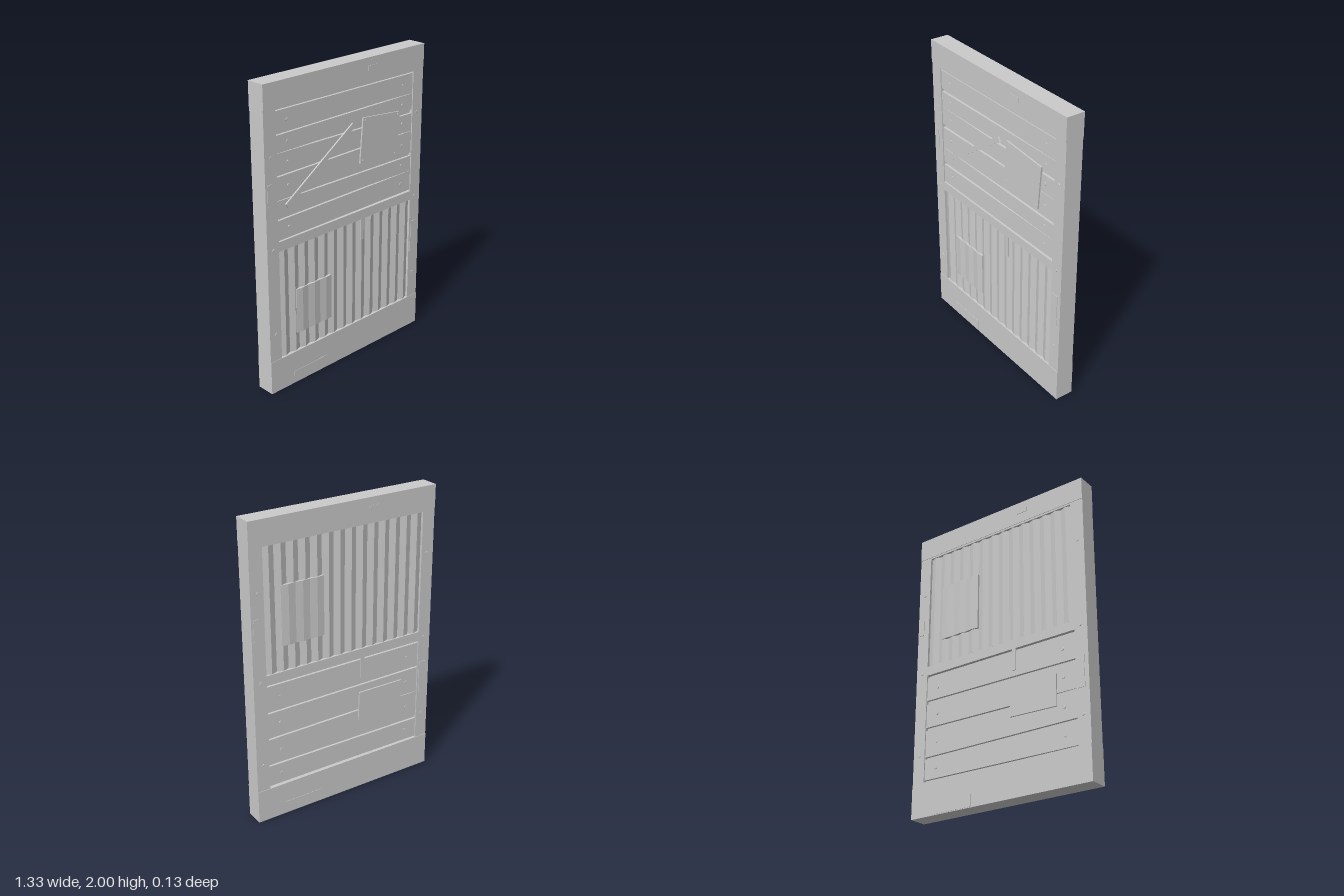
import * as THREE from 'three';

const grey = new THREE.MeshStandardMaterial({ color: 0xcacaca });
grey.name = 'plain grey';

const STILE = 0.059; // face of the uprights
const RAIL = 0.062;  // face of the rails
const HALF = 0.575;  // half width of the opening

function add(parent, name, geometry) {
  const mesh = new THREE.Mesh(geometry, grey);
  mesh.name = name;
  parent.add(mesh);
  return mesh;
}

// Box given by its limits
function block(parent, name, x0, x1, y0, y1, z0, z1) {
  const m = add(parent, name, new THREE.BoxGeometry(x1 - x0, y1 - y0, z1 - z0));
  m.position.set((x0 + x1) / 2, (y0 + y1) / 2, (z0 + z1) / 2);
}

// Flat polygon in the xy plane, thickened from z0 to z1
function slab(parent, name, points, z0, z1) {
  const shape = new THREE.Shape(points.map(([x, y]) => new THREE.Vector2(x, y)));
  const geo = new THREE.ExtrudeGeometry(shape, { depth: z1 - z0, bevelEnabled: false });
  geo.translate(0, 0, z0);
  add(parent, name, geo);
}

// Low nail head sitting on a face
function nail(parent, x, y, z, radius = 0.011) {
  const geo = new THREE.CylinderGeometry(radius * 0.8, radius, 0.003, 6).toNonIndexed();
  geo.computeVertexNormals();
  const m = add(parent, 'nailHead', geo);
  m.rotation.x = Math.PI / 2;
  m.position.set(x, y, z + 0.001);
}

// Zigzag metal sheet with upright ridges
function corrugated(parent, name, x0, x1, y0, y1, ribs, zBack, zLow, zHigh) {
  const pts = [[x0, -zBack]];
  for (let i = 0; i <= ribs * 2; i++) {
    pts.push([x0 + (x1 - x0) * i / (ribs * 2), -(i % 2 ? zHigh : zLow)]);
  }
  pts.push([x1, -zBack]);
  const shape = new THREE.Shape(pts.map(([x, z]) => new THREE.Vector2(x, z)));
  const geo = new THREE.ExtrudeGeometry(shape, { depth: y1 - y0, bevelEnabled: false });
  geo.rotateX(-Math.PI / 2);
  geo.translate(0, y0, 0);
  add(parent, name, geo);
}

// Planks between seams; each seam is a wedge gap [y, gap at left, gap at right]
function planks(parent, seams) {
  for (let i = 0; i < seams.length - 1; i++) {
    const [yt, tl, tr] = seams[i];
    const [yb, bl, br] = seams[i + 1];
    slab(parent, 'plank', [
      [-HALF, yb + bl / 2], [HALF, yb + br / 2],
      [HALF, yt - tr / 2], [-HALF, yt - tl / 2],
    ], 0.03, 0.052);
    for (const x of [-0.485, 0.485]) nail(parent, x, (yt + yb) / 2, 0.052);
  }
}

// Frame details shared by both faces
function faceTrim() {
  const g = new THREE.Group();
  for (const s of [-1, 1]) {
    for (const y of [1.56, 0.978, 0.408]) nail(g, s * 0.616, y, STILE);
  }
  block(g, 'middleRail', -HALF, HALF, 0.955, 1.018, 0.03, STILE);
  block(g, 'headStrip', -HALF, HALF, 1.835, 1.848, 0.03, STILE);
  // Thin repair plates on the frame
  block(g, 'repairPlate', 0.16, 0.238, 1.917, 1.949, 0.055, 0.0645);
  block(g, 'repairPlate', -0.476, -0.196, 0.005, 0.087, 0.055, 0.0645);
  block(g, 'repairPlate', -0.65, -0.616, 1.26, 1.4, 0.055, 0.0625);
  block(g, 'repairPlate', 0.587, 0.637, 0.573, 0.797, 0.055, 0.0625);
  block(g, 'hangingSplinter', 0.115, 0.14, 0.81, 0.955, 0.045, STILE);
  return g;
}

export function createModel() {
  const model = new THREE.Group();
  model.name = 'patchedDoor';

  // Core and frame
  block(model, 'core', -0.6, 0.6, 0.1, 1.9, -0.036, 0.036);
  block(model, 'topRail', -0.665, 0.665, 1.848, 2, -RAIL, RAIL);
  block(model, 'bottomRail', -0.665, 0.665, 0, 0.224, -RAIL, RAIL);
  for (const s of [-1, 1]) {
    block(model, 'stile', s * 0.62 - 0.045, s * 0.62 + 0.045, 0.224, 1.848, -STILE, STILE);
  }

  // Front: planks above, corrugated sheet below
  const front = faceTrim();
  front.name = 'frontFace';
  planks(front, [
    [1.83, 0.01, 0.012], [1.69, 0.022, 0.002], [1.57, 0.001, 0.026], [1.438, 0.026, 0.002],
    [1.277, 0.003, 0.022], [1.163, 0.024, 0.001], [1.022, 0.001, 0.014],
  ]);
  corrugated(front, 'corrugatedSheet', -HALF, HALF, 0.226, 0.952, 14, 0.035, 0.042, 0.057);
  corrugated(front, 'corrugatedPatch', -0.445, -0.147, 0.35, 0.655, 3, 0.045, 0.058, 0.0645);
  const plate = [[0.1, 1.338], [0.43, 1.31], [0.455, 1.6], [0.125, 1.63]];
  slab(front, 'patchPlate', plate, 0.05, 0.062);
  for (const [x, y] of plate) {
    nail(front, x + (0.277 - x) * 0.12, y + (1.47 - y) * 0.12, 0.062, 0.007);
  }
  slab(front, 'diagonalBatten',
    [[-0.495, 1.215], [0.057, 1.592], [0.037, 1.618], [-0.515, 1.243]], 0.05, 0.062);
  model.add(front);

  // Back: corrugated sheet above, planks below
  const back = faceTrim();
  back.name = 'backFace';
  corrugated(back, 'corrugatedSheet', -HALF, HALF, 1.02, 1.833, 14, 0.035, 0.042, 0.057);
  corrugated(back, 'corrugatedPatch', -0.46, -0.16, 1.186, 1.576, 3, 0.045, 0.058, 0.0645);
  planks(back, [
    [0.945, 0.014, 0.01], [0.765, 0.026, 0.012], [0.58, 0.022, 0.002],
    [0.385, 0.012, 0.026], [0.23, 0.02, 0.004],
  ]);
  slab(back, 'patchPlate', [[0.098, 0.508], [0.435, 0.5], [0.44, 0.706], [0.105, 0.708]], 0.05, 0.062);
  back.rotation.y = Math.PI;
  model.add(back);

  return model;
}
